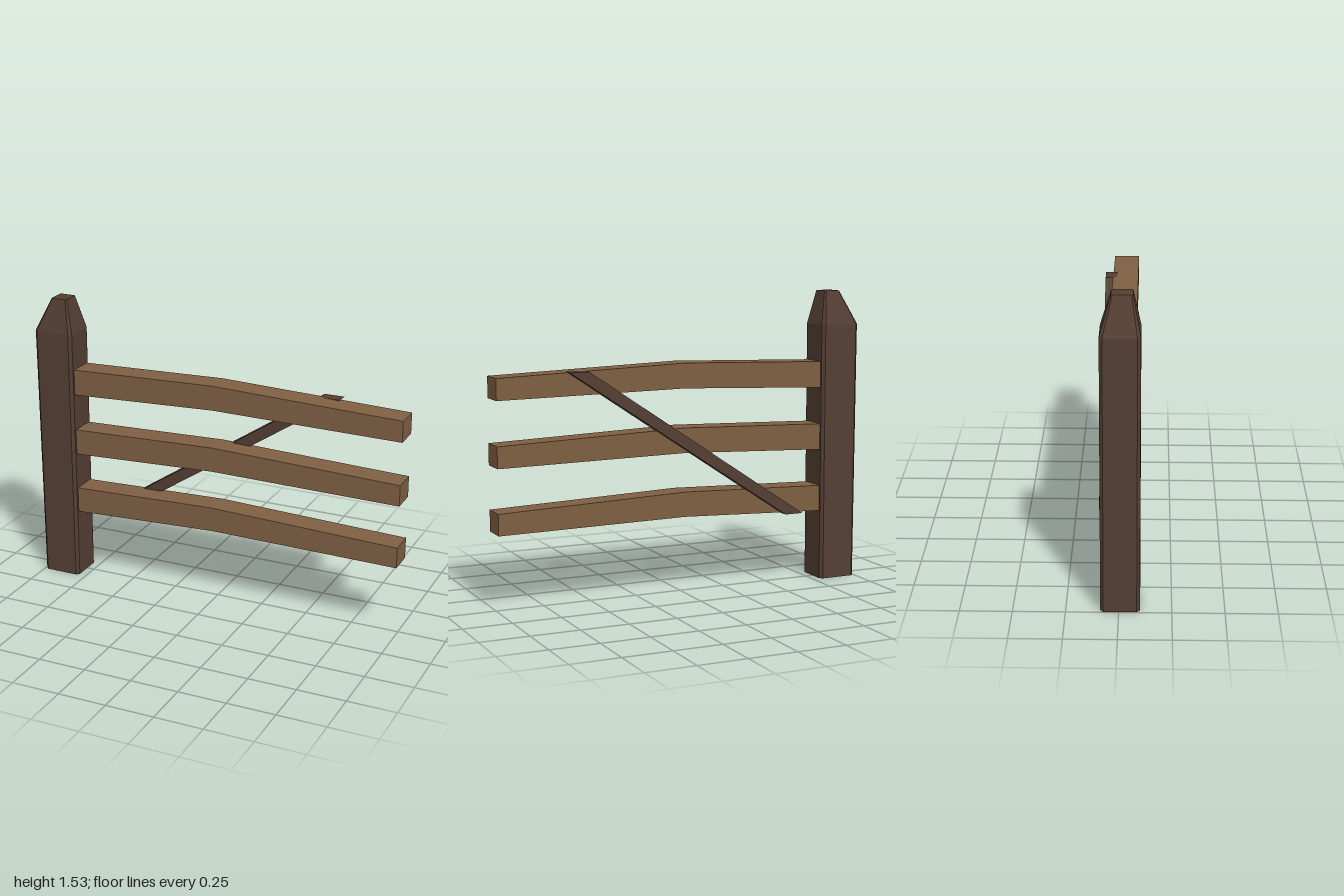
import * as THREE from 'three';

// Straight prism: outline in x/y, extruded between two z values
function prism(points, z0, z1) {
  const shape = new THREE.Shape(points.map(([x, y]) => new THREE.Vector2(x, y)));
  const geometry = new THREE.ExtrudeGeometry(shape, { depth: z1 - z0, bevelEnabled: false });
  return geometry.translate(0, 0, z0);
}

// Rectangle with cut corners at height y, counter-clockwise seen from above
function section(y, x0, x1, z0, z1, c) {
  return [
    [x0 + c, z1], [x1 - c, z1], [x1, z1 - c], [x1, z0 + c],
    [x1 - c, z0], [x0 + c, z0], [x0, z0 + c], [x0, z1 - c],
  ].map(([x, z]) => new THREE.Vector3(x, y, z));
}

// Faceted skin through a stack of sections, closed at both ends
function loft(rings) {
  const tris = [];
  const n = rings[0].length;
  for (let r = 0; r < rings.length - 1; r++) {
    const low = rings[r], high = rings[r + 1];
    for (let i = 0; i < n; i++) {
      const j = (i + 1) % n;
      tris.push(low[i], low[j], high[j], low[i], high[j], high[i]);
    }
  }
  const top = rings[rings.length - 1], base = rings[0];
  for (let i = 1; i < n - 1; i++) {
    tris.push(top[0], top[i], top[i + 1], base[0], base[i + 1], base[i]);
  }
  const geometry = new THREE.BufferGeometry().setFromPoints(tris);
  geometry.computeVertexNormals();
  return geometry;
}

export function createModel() {
  const group = new THREE.Group();
  const darkWood = new THREE.MeshStandardMaterial({ color: 0x543e33, flatShading: true });
  darkWood.name = 'dark wood';
  const lightWood = new THREE.MeshStandardMaterial({ color: 0x7f5f43, flatShading: true });
  lightWood.name = 'light wood';

  const add = (name, geometry, material) => {
    const mesh = new THREE.Mesh(geometry, material);
    mesh.name = name;
    group.add(mesh);
  };

  // Post with chamfered corners and an off-centre tapered top
  add('post', loft([
    section(0, -0.995, -0.79, -0.087, 0.1, 0.015),
    section(1.36, -1, -0.787, -0.087, 0.1, 0.015),
    section(1.535, -0.913, -0.825, -0.035, 0.064, 0.007),
  ]), darkWood);

  // Three rails, bowed upwards in the middle
  ['lowerRail', 'middleRail', 'upperRail'].forEach((name, i) => {
    const y = 0.4 + i * 0.331;
    add(name, prism([
      [-0.81, y - 0.033], [0, y], [1, y - 0.013],
      [1, y + 0.096], [0, y + 0.129], [-0.81, y + 0.104],
    ], -0.062, 0.073), lightWood);
  });

  // Diagonal brace behind the rails, ends cut level
  add('brace', prism([
    [-0.665, 0.372], [-0.565, 0.372], [0.638, 1.173], [0.535, 1.173],
  ], -0.102, -0.042), darkWood);

  return group;
}
